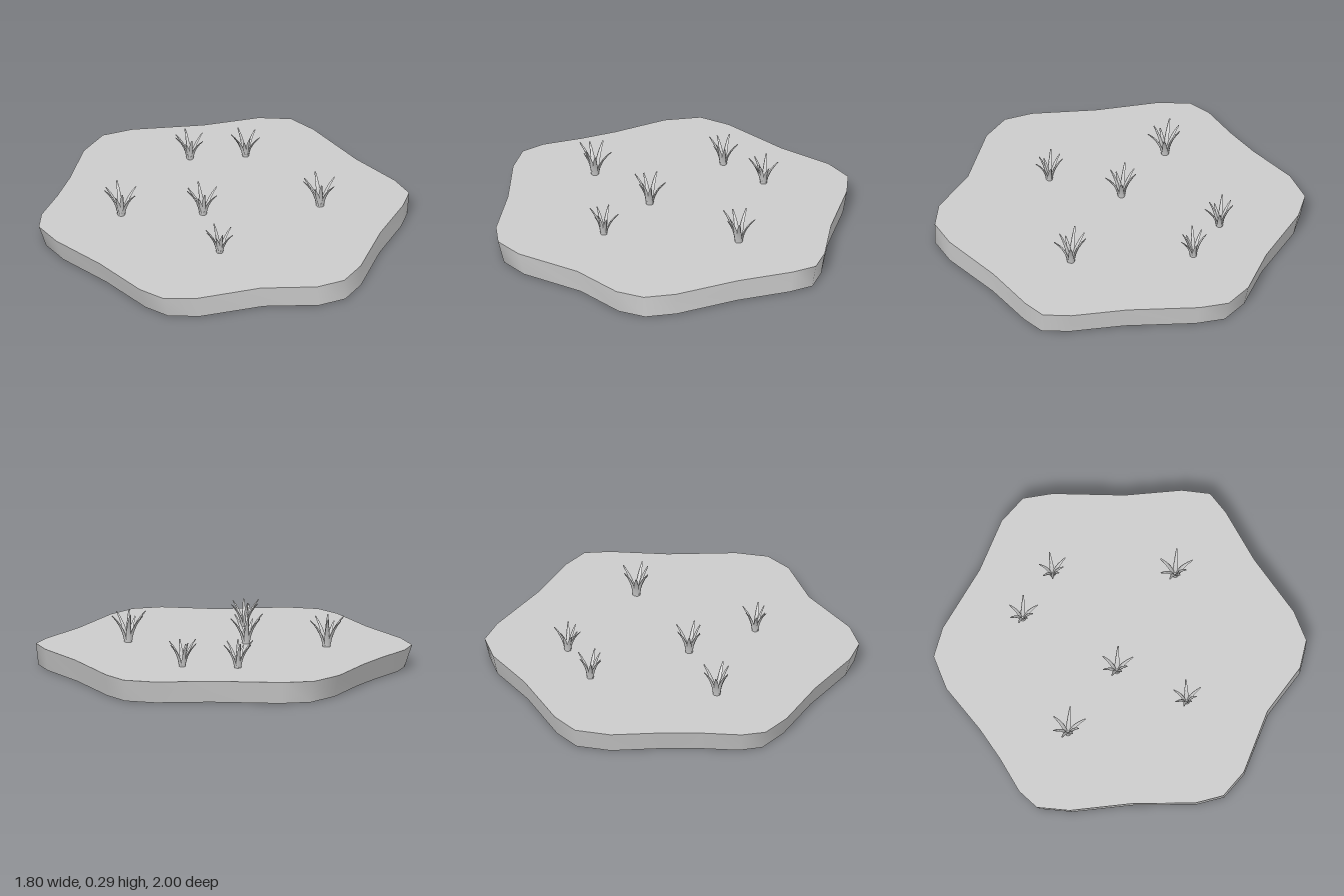
import * as THREE from 'three';

const material = new THREE.MeshStandardMaterial({ color: 0xcccccc, side: THREE.DoubleSide });
const TOP = 0.12;

// Rounded, slightly irregular hexagon seen from above: x, z
const outline = [
  [0, -1], [0.16, -0.945], [0.48, -0.735], [0.755, -0.605], [0.88, -0.485], [0.9, -0.325],
  [0.875, 0.06], [0.89, 0.365], [0.865, 0.515], [0.755, 0.595], [0.48, 0.735], [0.175, 0.935],
  [0.01, 0.995], [-0.145, 0.955], [-0.385, 0.77], [-0.725, 0.63], [-0.855, 0.515], [-0.89, 0.365],
  [-0.88, 0.02], [-0.905, -0.31], [-0.88, -0.485], [-0.785, -0.575], [-0.595, -0.67],
  [-0.425, -0.77], [-0.185, -0.94],
];

function mesh(name, geometry) {
  const m = new THREE.Mesh(geometry, material);
  m.name = name;
  return m;
}

// Flat ground surface
function groundGeometry() {
  const shape = new THREE.Shape(outline.map(([x, z]) => new THREE.Vector2(x, -z)));
  return new THREE.ShapeGeometry(shape).rotateX(-Math.PI / 2).translate(0, TOP, 0);
}

// Rim wall that narrows a little towards its open underside
function wallGeometry() {
  const positions = [], index = [], n = outline.length;
  outline.forEach(([x, z], i) => {
    positions.push(x, TOP, z, x * 0.97 + 0.008, 0, z * 0.985 + 0.013);
    const a = 2 * i, b = 2 * ((i + 1) % n);
    index.push(a, b, a + 1, b, b + 1, a + 1);
  });
  const g = new THREE.BufferGeometry();
  g.setAttribute('position', new THREE.Float32BufferAttribute(positions, 3));
  g.setIndex(index);
  g.computeVertexNormals();
  return g;
}

// One blade: a thin tube bent outward along +x, widest low down and tapering to its tip
function bladeGeometry(reach, height) {
  const g = new THREE.CylinderGeometry(1, 1, 1, 6, 6);
  const p = g.attributes.position;
  for (let i = 0; i < p.count; i++) {
    const t = p.getY(i) + 0.5;
    const width = 0.015 * (1 - 0.75 * t * t);
    const centre = 0.012 + (reach - 0.012) * (0.25 * t + 0.75 * t ** 2.4);
    const thick = width * 0.45;
    p.setXYZ(i,
      centre + p.getX(i) * thick,
      -0.012 + (height + 0.012) * t - p.getX(i) * thick * t,
      p.getZ(i) * width);
  }
  g.computeVertexNormals();
  return g;
}

// Blade direction in degrees (from +x towards +z), reach and height
const blades = [
  [5, 0.092, 0.148], [75, 0.095, 0.15], [120, 0.068, 0.16], [155, 0.06, 0.13],
  [197, 0.094, 0.165], [237, 0.09, 0.15], [288, 0.082, 0.165],
];

function grassTuft(x, z, scale, turn) {
  const tuft = new THREE.Group();
  tuft.name = 'grassTuft';
  for (const [angle, reach, height] of blades) {
    const blade = mesh('grassBlade', bladeGeometry(reach, height));
    blade.rotation.y = -THREE.MathUtils.degToRad(angle + turn);
    tuft.add(blade);
  }
  tuft.position.set(x, TOP, z);
  tuft.scale.setScalar(scale);
  return tuft;
}

export function createModel() {
  const model = new THREE.Group();
  model.name = 'grassyTile';
  model.add(mesh('groundSurface', groundGeometry()), mesh('rimWall', wallGeometry()));

  // Tufts: x, z, scale, turn
  const tufts = [
    [-0.46, -0.3, 1, 5], [-0.12, -0.025, 0.95, 2], [-0.31, 0.34, 0.85, -5],
    [0.2, -0.515, 0.88, 0], [0.445, -0.345, 0.85, -15], [0.415, 0.31, 1, 3],
  ];
  for (const t of tufts) model.add(grassTuft(...t));
  return model;
}
